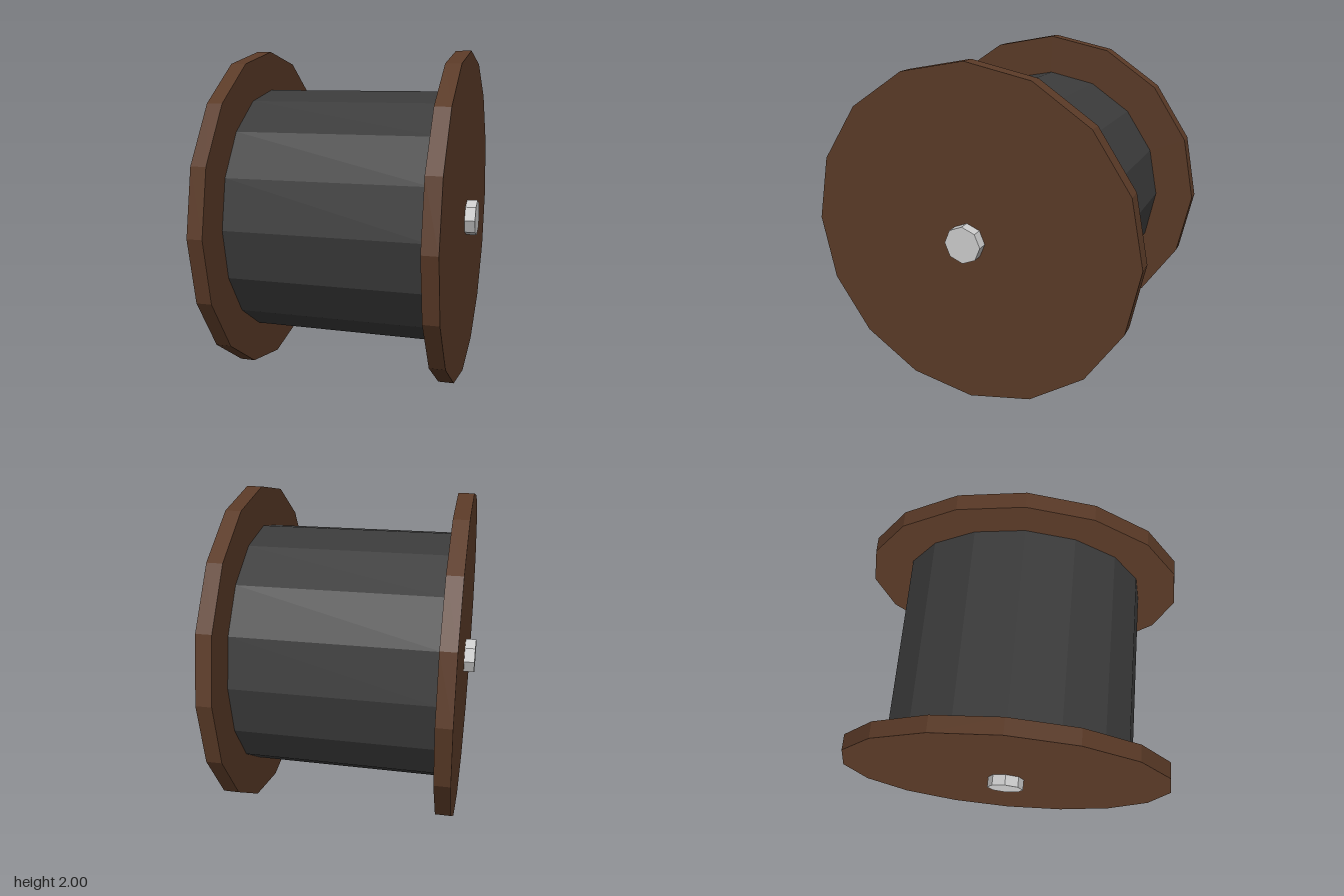
import * as THREE from 'three';

export function createModel() {
  const material = (name, color) => {
    const m = new THREE.MeshStandardMaterial({ color, flatShading: true });
    m.name = name;
    return m;
  };
  const wood = material('brown wood', 0x5a3a27);
  const cable = material('dark cable', 0x3b3b3b);
  const metal = material('light metal', 0xcccccc);

  const spool = new THREE.Group();
  spool.name = 'cableSpool';
  spool.position.y = 1;

  // Faceted disc lying along x between x0 and x1
  const disc = (name, radius, sides, x0, x1, mat) => {
    const geometry = new THREE.CylinderGeometry(radius, radius, x1 - x0, sides);
    geometry.rotateZ(Math.PI / 2);
    const mesh = new THREE.Mesh(geometry, mat);
    mesh.name = name;
    mesh.position.x = (x0 + x1) / 2;
    spool.add(mesh);
  };

  // Wound drum, two flanges and the axle running through them
  disc('drum', 0.762, 16, -0.59, 0.59, cable);
  disc('leftFlange', 1, 16, 0.59, 0.682, wood);
  disc('rightFlange', 1, 16, -0.682, -0.59, wood);
  disc('axle', 0.109, 8, -0.745, 0.745, metal);

  const model = new THREE.Group();
  model.add(spool);
  return model;
}
